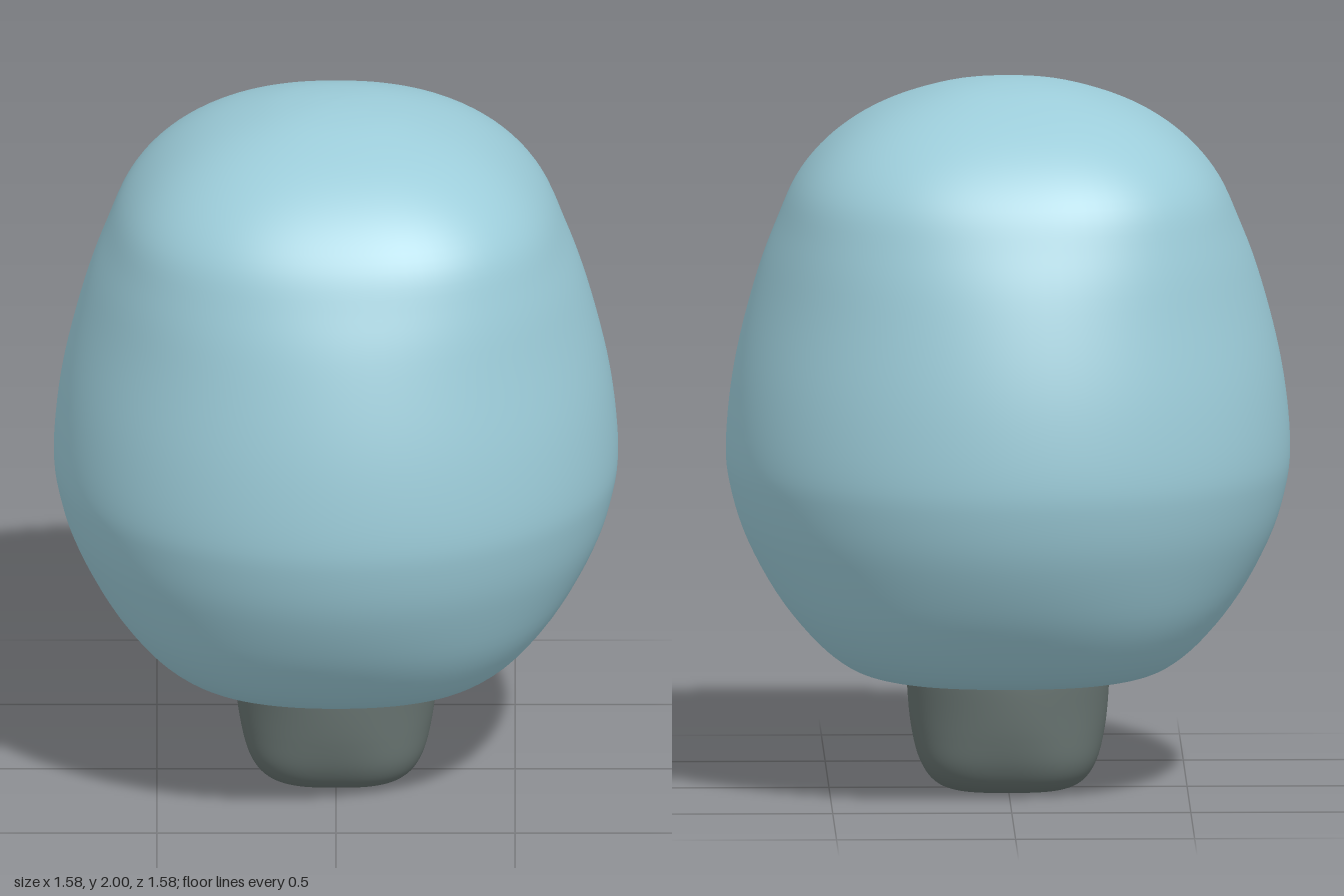
import * as THREE from 'three';
import { mergeVertices } from 'three/addons/utils/BufferGeometryUtils.js';

// Smooth turned solid whose sections swell towards the four diagonals near the given heights.
// profile: [radius, y] from bottom to top; swells: [height, reach, amount]
function softBlock(name, color, profile, swells) {
  const curve = new THREE.SplineCurve(profile.map(([r, y]) => new THREE.Vector2(r, y)));
  const points = curve.getPoints(90);
  points.forEach((p) => { p.x = Math.max(p.x, 0); });
  let geometry = new THREE.LatheGeometry(points, 96);
  const pos = geometry.attributes.position;
  for (let i = 0; i < pos.count; i++) {
    const x = pos.getX(i), y = pos.getY(i), z = pos.getZ(i);
    const r2 = x * x + z * z;
    if (r2 < 1e-8) continue;
    const diagonal = (4 * x * x * z * z) / (r2 * r2);
    let amount = 0;
    for (const [h, reach, a] of swells) amount += a * Math.exp(-(((y - h) / reach) ** 2));
    const k = 1 + amount * diagonal;
    pos.setXYZ(i, x * k, y, z * k);
  }
  // Weld the seam so the normals run smoothly round
  geometry.deleteAttribute('uv');
  geometry.deleteAttribute('normal');
  geometry = mergeVertices(geometry, 1e-5);
  geometry.computeVertexNormals();
  const mesh = new THREE.Mesh(geometry, new THREE.MeshStandardMaterial({ color }));
  mesh.name = name;
  return mesh;
}

export function createModel() {
  const group = new THREE.Group();
  group.name = 'tree';

  // Rounded crown: flat underneath, widest below the middle, soft square shoulders
  group.add(softBlock('crown', 0x9cccd9, [
    [0, 0.325], [0.15, 0.325], [0.3, 0.325], [0.38, 0.33], [0.46, 0.36], [0.55, 0.435],
    [0.65, 0.56], [0.735, 0.72], [0.777, 0.86], [0.788, 0.97], [0.775, 1.13],
    [0.745, 1.29], [0.695, 1.47], [0.645, 1.6], [0.595, 1.71], [0.525, 1.8],
    [0.435, 1.875], [0.33, 1.932], [0.2, 1.976], [0.09, 1.995], [0, 2],
  ], [[1.78, 0.28, 0.08], [0.36, 0.22, 0.06]]));

  // Short trunk, square-cornered at the foot
  group.add(softBlock('trunk', 0x66726f, [
    [0, 0], [0.09, 0.001], [0.165, 0.008], [0.215, 0.035], [0.25, 0.09], [0.27, 0.17],
    [0.28, 0.26], [0.282, 0.34], [0.27, 0.37], [0.15, 0.38], [0, 0.38],
  ], [[0.02, 0.14, 0.12]]));

  return group;
}
